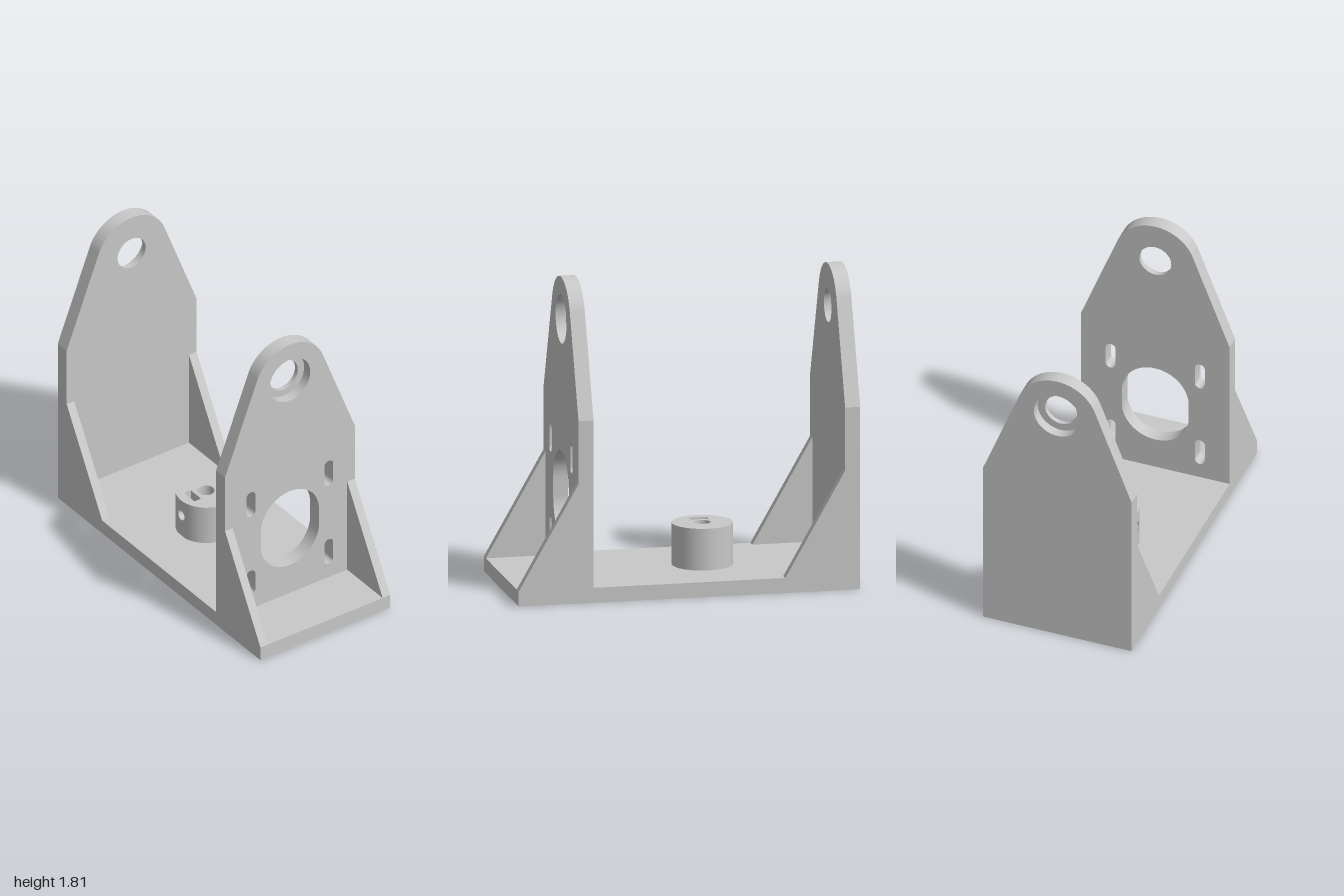
import * as THREE from 'three';
import { toCreasedNormals } from 'three/addons/utils/BufferGeometryUtils.js';

const BASE = 0.088;     // base plate thickness
const HALF_Z = 0.455;   // half depth of the bracket
const WALL = 0.088;     // upright thickness
const EYE_Y = 1.568;    // pivot hole height

const circle = (x, y, r) => new THREE.Path().absarc(x, y, r, 0, Math.PI * 2, true);

// vertical rounded slot, total width 2r and total height h
function slot(x, y, r, h) {
  const s = h / 2 - r;
  const p = new THREE.Path();
  p.absarc(x, y + s, r, 0, Math.PI, false);
  p.absarc(x, y - s, r, Math.PI, Math.PI * 2, false);
  p.closePath();
  return p;
}

function polygon(points) {
  return new THREE.Shape(points.map(([x, y]) => new THREE.Vector2(x, y)));
}

function extrude(shape, depth) {
  const g = new THREE.ExtrudeGeometry(shape, { depth, bevelEnabled: false, curveSegments: 28 });
  return toCreasedNormals(g, 0.3);
}

// tapered upright with a round head tangent to its sloping edges
function uprightShape() {
  const r = 0.246, shoulder = 1.07, drop = shoulder - EYE_Y;
  const a = Math.atan2(drop, HALF_Z) + Math.acos(r / Math.hypot(drop, HALF_Z));
  const s = new THREE.Shape();
  s.moveTo(-HALF_Z, BASE);
  s.lineTo(HALF_Z, BASE);
  s.lineTo(HALF_Z, shoulder);
  s.absarc(0, EYE_Y, r, a, Math.PI - a, false);
  s.lineTo(-HALF_Z, shoulder);
  s.closePath();
  s.holes.push(circle(0, EYE_Y, 0.143));
  return s;
}

export function createModel() {
  const model = new THREE.Group();
  model.name = 'motorBracket';
  const grey = new THREE.MeshStandardMaterial({ color: 0xc8c8c8, side: THREE.DoubleSide });
  grey.name = 'plainGrey';

  const add = (name, geometry, parent = model) => {
    const mesh = new THREE.Mesh(geometry, grey);
    mesh.name = name;
    parent.add(mesh);
    return mesh;
  };

  // base plate with the shaft hole
  const bossX = -0.177, boreR = 0.048;
  const plate = polygon([[-1, -HALF_Z], [1, -HALF_Z], [1, HALF_Z], [-1, HALF_Z]]);
  plate.holes.push(circle(bossX, 0, boreR));
  add('basePlate', extrude(plate, BASE).rotateX(-Math.PI / 2));

  // uprights, each with a thin lip at the inner end of its bearing seat
  const lip = new THREE.Shape().absarc(0, EYE_Y, 0.143, 0, Math.PI * 2, false);
  lip.holes.push(circle(0, EYE_Y, 0.098));
  const lipDepth = 0.028;
  const upright = (name, x, shape, lipX) => {
    add(name, extrude(shape, WALL).rotateY(Math.PI / 2).translate(x, 0, 0));
    add(name + 'BearingLip', extrude(lip, lipDepth).rotateY(Math.PI / 2).translate(lipX, 0, 0));
  };
  upright('rightUpright', -1, uprightShape(), -1 + WALL - lipDepth);

  // the other upright carries the motor opening and four mounting slots
  const leftX = 0.562;
  const motorSide = uprightShape();
  motorSide.holes.push(slot(0, 0.539, 0.204, 0.512));
  for (const z of [-0.273, 0.273])
    for (const y of [0.267, 0.811]) motorSide.holes.push(slot(z, y, 0.031, 0.17));
  upright('leftUpright', leftX, motorSide, leftX);

  // triangular gussets along the front and back edges
  const gussetDepth = 0.053;
  for (const [name, x0, x1] of [['rightGusset', -1 + WALL, -0.562], ['leftGusset', leftX + WALL, 1]]) {
    const shape = polygon([[x0, BASE], [x1, BASE], [x0, 0.7]]);
    for (const z of [HALF_Z - gussetDepth, -HALF_Z])
      add(name, extrude(shape, gussetDepth).translate(0, 0, z));
  }

  // shaft boss
  const boss = new THREE.Group();
  boss.name = 'shaftBoss';
  boss.position.x = bossX;
  model.add(boss);
  const R = 0.175, top = 0.333, height = top - BASE, midY = (top + BASE) / 2;
  const screwY = 0.23, screwR = 0.031, gap = 0.2;

  // boss wall, left open where the screw hole panel sits
  add('bossWall', new THREE.CylinderGeometry(R, R, height, 64, 1, true, gap, Math.PI * 2 - gap * 2)
    .translate(0, midY, 0), boss);

  // screw hole panel, bent onto the cylinder
  const w = gap * R;
  const panelShape = polygon([[-w, BASE], [w, BASE], [w, top], [-w, top]]);
  panelShape.holes.push(circle(0, screwY, screwR));
  const panel = new THREE.ShapeGeometry(panelShape, 20);
  const pos = panel.attributes.position, nor = panel.attributes.normal;
  for (let i = 0; i < pos.count; i++) {
    const t = pos.getX(i) / R;
    pos.setXYZ(i, R * Math.sin(t), pos.getY(i), R * Math.cos(t));
    nor.setXYZ(i, Math.sin(t), 0, Math.cos(t));
  }
  add('screwHolePanel', panel, boss);

  // boss top with the shaft bore and nut pocket
  const [nx, nz0, nz1, pocketY] = [0.051, 0.071, 0.118, 0.18];
  const cap = new THREE.Shape().absarc(0, 0, R, 0, Math.PI * 2, false);
  cap.holes.push(circle(0, 0, boreR));
  cap.holes.push(polygon([[-nx, -nz1], [nx, -nz1], [nx, -nz0], [-nx, -nz0]]));
  add('bossTop', new THREE.ShapeGeometry(cap, 32).rotateX(-Math.PI / 2).translate(0, top, 0), boss);

  add('shaftBore', new THREE.CylinderGeometry(boreR, boreR, height, 32, 1, true)
    .translate(0, midY, 0), boss);

  // nut pocket: a box without its top face
  const pocket = new THREE.BoxGeometry(nx * 2, top - pocketY, nz1 - nz0);
  const faces = Array.from(pocket.index.array);
  faces.splice(12, 6);
  pocket.setIndex(faces);
  pocket.clearGroups();
  add('nutPocket', pocket.translate(0, (top + pocketY) / 2, (nz0 + nz1) / 2), boss);

  // screw hole from the boss wall to the nut pocket
  const screwLength = R - 0.003 - nz1;
  add('screwHole', new THREE.CylinderGeometry(screwR, screwR, screwLength, 20, 1, true)
    .rotateX(Math.PI / 2).translate(0, screwY, nz1 + screwLength / 2), boss);

  return model;
}
